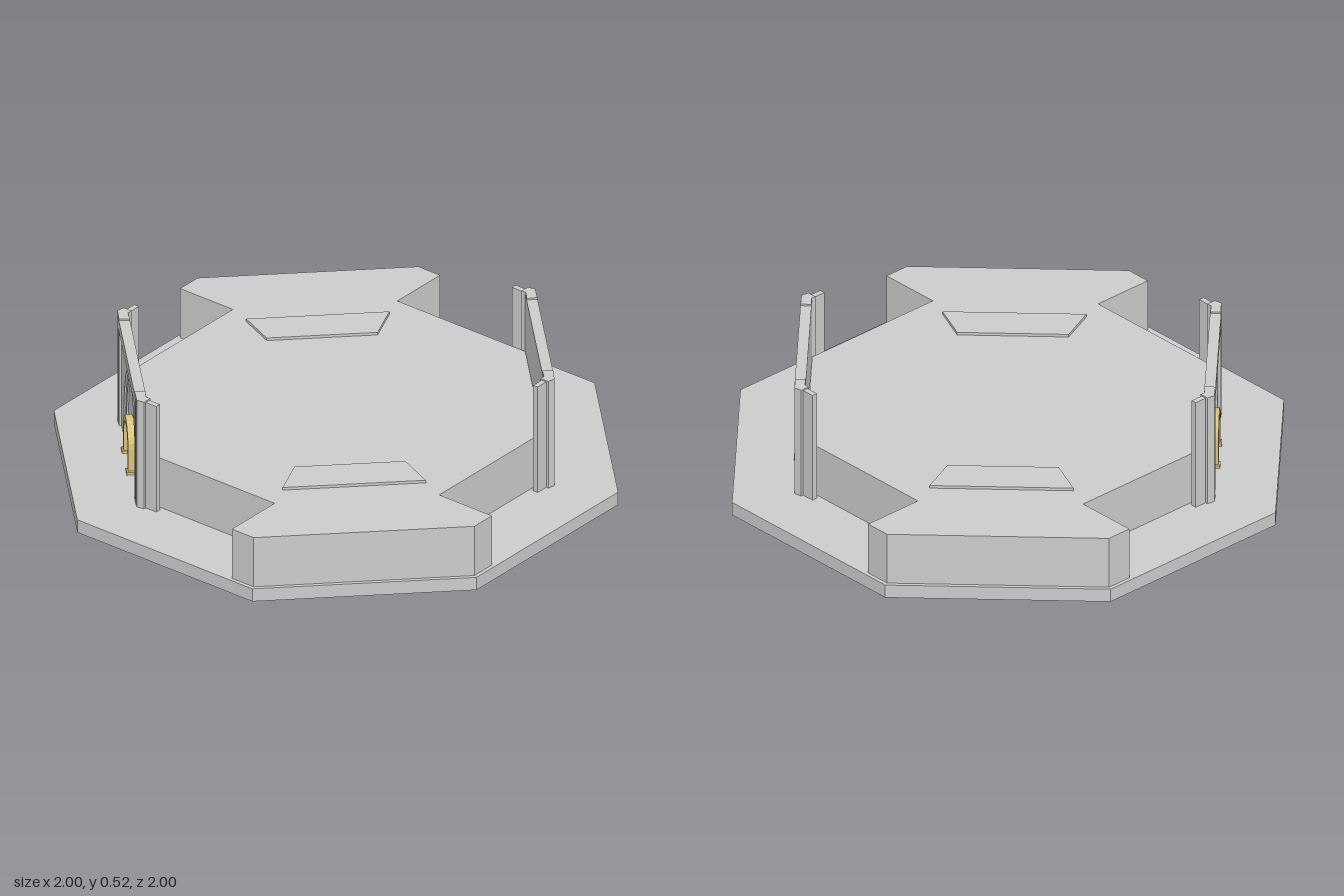
import * as THREE from 'three';

const grey = new THREE.MeshStandardMaterial({ color: 0xcccccc, flatShading: true });
const gold = new THREE.MeshStandardMaterial({ color: 0xd8c37a, flatShading: true });

const toShape = (pts) => new THREE.Shape(pts.map(([x, y]) => new THREE.Vector2(x, y)));

function add(parent, name, geometry, material = grey) {
  const mesh = new THREE.Mesh(geometry, material);
  mesh.name = name;
  parent.add(mesh);
  return mesh;
}

// Plan outline [x, z] raised from y0 to y1
function slab(plan, y0, y1) {
  const g = new THREE.ExtrudeGeometry(toShape(plan.map(([x, z]) => [x, -z])), { depth: y1 - y0, bevelEnabled: false });
  return g.rotateX(-Math.PI / 2).translate(0, y0, 0);
}

// Upright outline [x, y] with optional hole, from z0 to z1
function upright(outline, hole, z0, z1) {
  const shape = toShape(outline);
  if (hole) shape.holes.push(toShape(hole));
  return new THREE.ExtrudeGeometry(shape, { depth: z1 - z0, bevelEnabled: false }).translate(0, 0, z0);
}

// Closed symmetric outline from its right half, listed bottom to apex
const symmetric = (half) => [
  ...half,
  ...half.filter(([x]) => x > 0).reverse().map(([x, y]) => [-x, y]),
];

// Round-headed arch
function roundArch(r, base, spring) {
  const half = [[r, base]];
  for (let i = 0; i <= 6; i++) {
    const a = (i / 6) * Math.PI / 2;
    half.push([i === 6 ? 0 : r * Math.cos(a), spring + r * Math.sin(a) * 0.95]);
  }
  return symmetric(half);
}

// Faceted pointed arches of the niche
const outerArch = symmetric([[0.195, 0.05], [0.195, 0.19], [0.17, 0.29], [0.115, 0.385], [0.06, 0.43], [0, 0.45]]);
const innerArch = symmetric([[0.165, 0.05], [0.165, 0.19], [0.143, 0.28], [0.095, 0.365], [0.05, 0.405], [0, 0.42]]);

function gateWall() {
  const wall = new THREE.Group();
  wall.name = 'gateWall';
  const top = 0.515;
  // The foot of the wall dips under the base towards both ends
  const sheet = symmetric([[0, 0.03], [0.08, 0.022], [0.32, 0.006], [0.32, top], [0, top]])
    .filter(([x, y], i, all) => all.findIndex((p) => p[0] === x && p[1] === y) === i);
  const doorway = roundArch(0.066, 0.05, 0.175);
  const panel = [[-0.31, 0.05], [0.31, 0.05], [0.31, 0.48], [-0.31, 0.48]];
  add(wall, 'backPanel', upright(sheet, doorway, 0.733, 0.75));
  add(wall, 'nicheStep', upright(panel, innerArch, 0.75, 0.757));
  add(wall, 'facePanel', upright(panel, outerArch, 0.757, 0.764));

  // Raised frame around the face
  const frame = [[-0.32, 0.05], [-0.295, 0.05], [-0.295, 0.47], [0.295, 0.47], [0.295, 0.05],
    [0.32, 0.05], [0.32, top], [-0.32, top]];
  add(wall, 'faceFrame', upright(frame, null, 0.75, 0.774));

  // Gilded door surround with feet
  const surround = [...roundArch(0.09, 0.07, 0.175)];
  add(wall, 'doorSurround', upright(surround, roundArch(0.066, 0.0701, 0.175), 0.745, 0.778), gold);
  for (const s of [-1, 1]) {
    add(wall, 'doorFoot', new THREE.BoxGeometry(0.036, 0.014, 0.04).translate(s * 0.082, 0.077, 0.764), gold);
  }

  // Corner pillar with its short return wing, turned into the wall's frame
  const k = Math.SQRT1_2;
  const turn = ([x, z]) => [k * (x + z), k * (z - x)];
  const pillar = [[-0.275, 0.745], [-0.275, 0.782], [-0.305, 0.787], [-0.352, 0.742], [-0.326, 0.712], [-0.295, 0.745]].map(turn);
  const wing = [[-0.225, 0.75], [-0.225, 0.772], [-0.28, 0.772], [-0.28, 0.75]].map(turn);
  for (const s of [-1, 1]) {
    const flip = ([x, z]) => [s * x, z];
    add(wall, 'cornerPillar', slab(pillar.map(flip), 0, 0.522));
    add(wall, 'returnWing', slab(wing.map(flip), 0.005, 0.517));
  }
  return wall;
}

export function createModel() {
  const model = new THREE.Group();
  model.name = 'octagonalPlatform';

  // Octagonal base
  const c = 0.414;
  const octagon = [[c, 1], [1, c], [1, -c], [c, -1], [-c, -1], [-1, -c], [-1, c], [-c, 1]];
  add(model, 'base', slab(octagon, 0.02, 0.073));

  // Raised deck: one half outline, repeated by half a turn
  const half = [[-0.3, 0.735], [0.305, 0.735], [0.305, 0.985], [0.408, 0.985],
    [0.985, 0.408], [0.985, 0.305], [0.735, 0.305], [0.735, -0.3]];
  add(model, 'deck', slab([...half, ...half.map(([x, z]) => [-x, -z])], 0.073, 0.28));

  // Thin plates on the deck and gate walls at opposite corners
  const plate = [[0.2, 0.49], [0.265, 0.64], [0.64, 0.265], [0.49, 0.2]];
  for (const s of [1, -1]) {
    add(model, 'deckPlate', slab(plate.map(([x, z]) => [s * x, s * z]), 0.28, 0.291));
    const wall = gateWall();
    wall.rotation.y = s > 0 ? -Math.PI / 4 : Math.PI * 0.75;
    model.add(wall);
  }
  return model;
}
